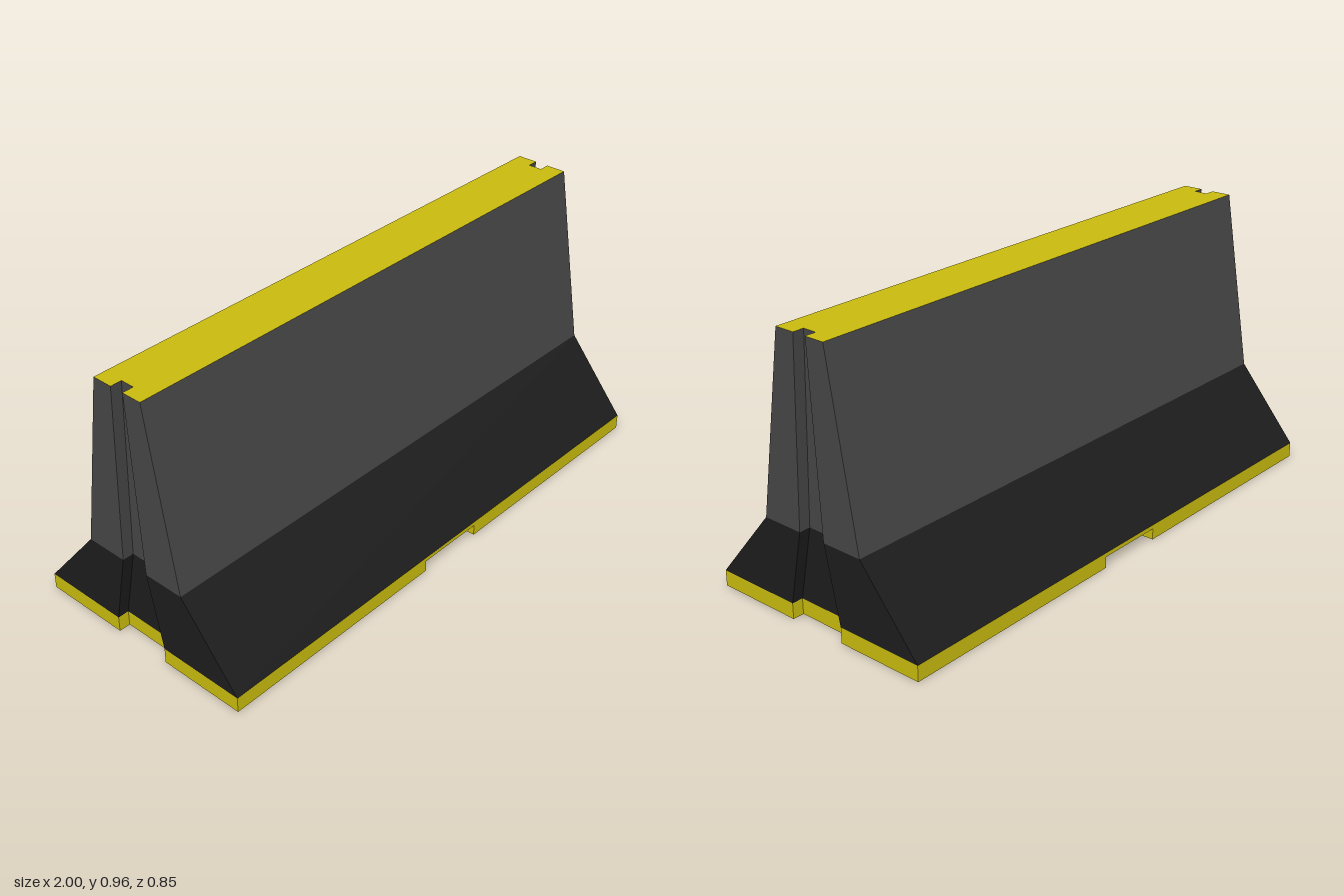
import * as THREE from 'three';

const YELLOW = 0xc8ba0e, DARK = 0x1c1c1c, GREY = 0x464646;

// Levels of the barrier: height, half depth, half width of the end groove
const LEVELS = [
  { y: 0, d: 0.425, n: 0.107 },
  { y: 0.055, d: 0.425, n: 0.107 },
  { y: 0.318, d: 0.203, n: 0.052 },
  { y: 0.957, d: 0.098, n: 0.025 },
];
const L = 1, GROOVE = 0.96;          // half length, and where the groove floor sits
const SLOT = 0.128, SLOT_TOP = 0.04; // lifting slot half width and height

// Plan outline at one level, with a groove in each end
function outline({ y, d, n }) {
  return [
    [L, d], [L, n], [GROOVE, n], [GROOVE, -n], [L, -n], [L, -d],
    [-L, -d], [-L, -n], [-GROOVE, -n], [-GROOVE, n], [-L, n], [-L, d],
  ].map(([x, z]) => [x, y, z]);
}

// Flat-shaded mesh from polygons of three or four corners
function facets(name, color, polygons) {
  const pos = [];
  for (const p of polygons) {
    for (let i = 1; i < p.length - 1; i++) pos.push(...p[0], ...p[i], ...p[i + 1]);
  }
  const geo = new THREE.BufferGeometry();
  geo.setAttribute('position', new THREE.Float32BufferAttribute(pos, 3));
  geo.computeVertexNormals();
  return named(name, color, geo);
}

function named(name, color, geo) {
  const mesh = new THREE.Mesh(geo, new THREE.MeshStandardMaterial({ color, flatShading: true }));
  mesh.name = name;
  return mesh;
}

// Walls between two levels; the long sides can be left out
function walls(lower, upper, longSides = true) {
  const a = outline(lower), b = outline(upper), quads = [];
  for (let i = 0; i < a.length; i++) {
    if (!longSides && (i === 5 || i === 11)) continue;
    const j = (i + 1) % a.length;
    quads.push([a[i], a[j], b[j], b[i]]);
  }
  return quads;
}

// Front half of the base: long side, underside and the sloping lifting slot
function baseHalf() {
  const { d, n } = LEVELS[0], top = LEVELS[1].y;
  const front = (x0, x1, y0) => [[x0, y0, d], [x1, y0, d], [x1, top, d], [x0, top, d]];
  const under = (x0, x1, z0, z1, y1 = 0) => [[x0, 0, z0], [x1, 0, z0], [x1, y1, z1], [x0, y1, z1]];
  return [
    front(-L, -SLOT, 0), front(SLOT, L, 0), front(-SLOT, SLOT, SLOT_TOP),
    under(-GROOVE, GROOVE, 0, n),
    under(-L, -SLOT, n, d), under(SLOT, L, n, d),
    under(-SLOT, SLOT, n, d, SLOT_TOP),
    [[SLOT, 0, n], [SLOT, 0, d], [SLOT, SLOT_TOP, d]],
    [[-SLOT, 0, n], [-SLOT, SLOT_TOP, d], [-SLOT, 0, d]],
  ];
}

export function createModel() {
  const model = new THREE.Group();
  model.name = 'concreteBarrier';
  const [ground, curb, waist, crown] = LEVELS;

  // Yellow base
  const base = new THREE.Group();
  base.name = 'base';
  const frontHalf = facets('baseFront', YELLOW, baseHalf());
  const backHalf = frontHalf.clone();
  backHalf.name = 'baseBack';
  backHalf.rotation.y = Math.PI;
  base.add(frontHalf, backHalf, facets('baseEnds', YELLOW, walls(ground, curb, false)));
  model.add(base);

  // Sloping skirt and upper wall
  model.add(facets('skirt', DARK, walls(curb, waist)));
  model.add(facets('upperWall', GREY, walls(waist, crown)));

  // Yellow top face
  const shape = new THREE.Shape(outline(crown).map(([x, , z]) => new THREE.Vector2(x, -z)));
  const cap = new THREE.ShapeGeometry(shape).rotateX(-Math.PI / 2).translate(0, crown.y, 0);
  model.add(named('topFace', YELLOW, cap));

  return model;
}
